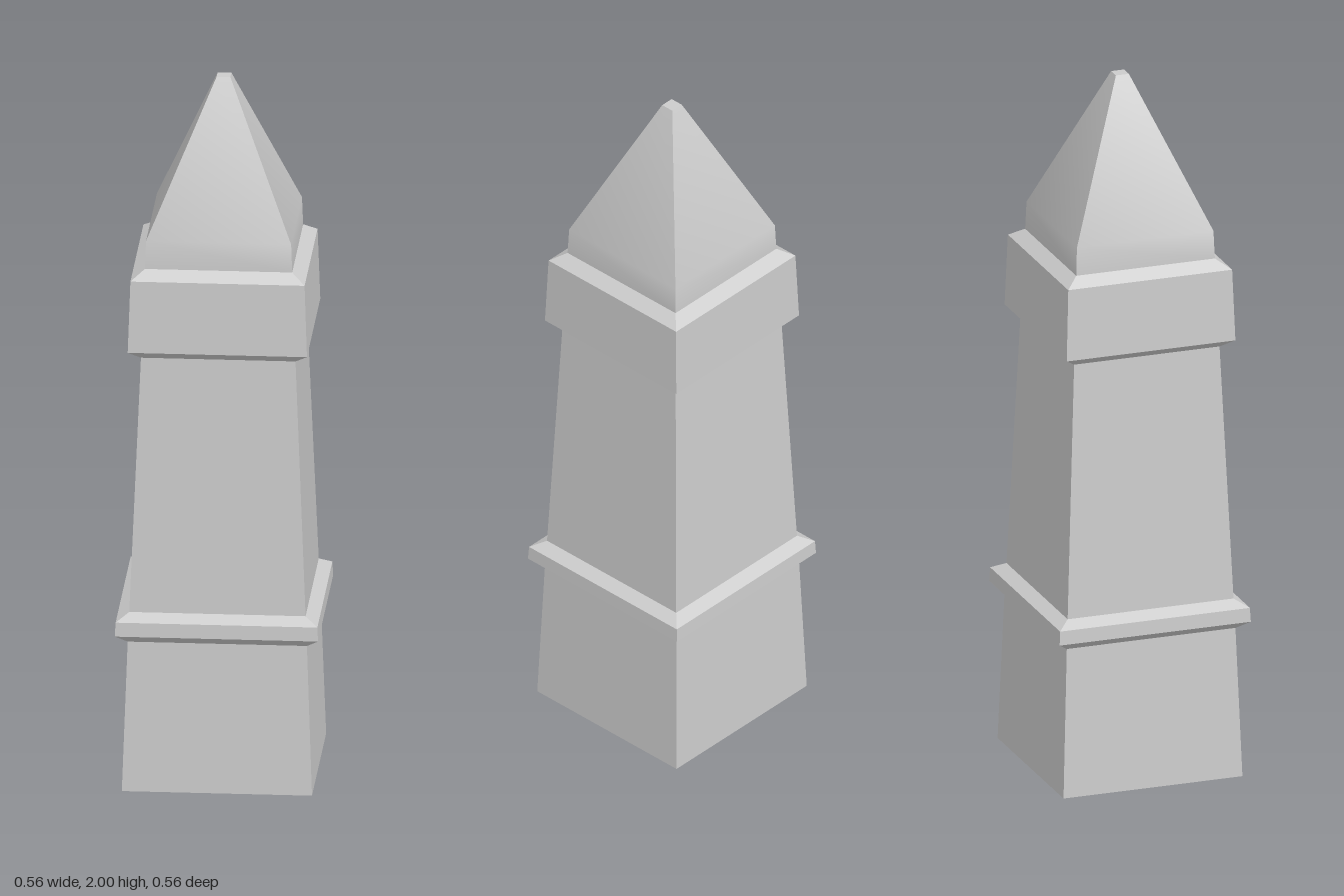
import * as THREE from 'three';
import { toCreasedNormals } from 'three/addons/utils/BufferGeometryUtils.js';

const material = new THREE.MeshStandardMaterial({ color: 0xcccccc });

// Square section: profile points are [half width, height], listed upwards.
function squareSection(name, profile) {
  const points = profile.map(([half, y]) => new THREE.Vector2(half * Math.SQRT2, y));
  const lathe = new THREE.LatheGeometry(points, 4, Math.PI / 4);
  const mesh = new THREE.Mesh(toCreasedNormals(lathe, Math.PI / 6), material);
  mesh.name = name;
  return mesh;
}

export function createModel() {
  const group = new THREE.Group();
  group.name = 'obelisk';
  group.add(
    // Tapered foot with closed underside
    squareSection('base', [[0, 0], [0.262, 0], [0.247, 0.43]]),
    // Projecting lower moulding with bevelled edges
    squareSection('lowerBand', [[0.247, 0.43], [0.28, 0.455], [0.278, 0.495], [0.243, 0.515]]),
    squareSection('shaft', [[0.243, 0.515], [0.213, 1.245]]),
    // Wide upper collar
    squareSection('collar', [[0.213, 1.245], [0.247, 1.27], [0.24, 1.475], [0.203, 1.5]]),
    // Pyramid with a short upright foot and a blunt tip
    squareSection('pyramidCap', [[0.203, 1.5], [0.2, 1.58], [0.019, 2], [0, 2]]),
  );
  return group;
}
